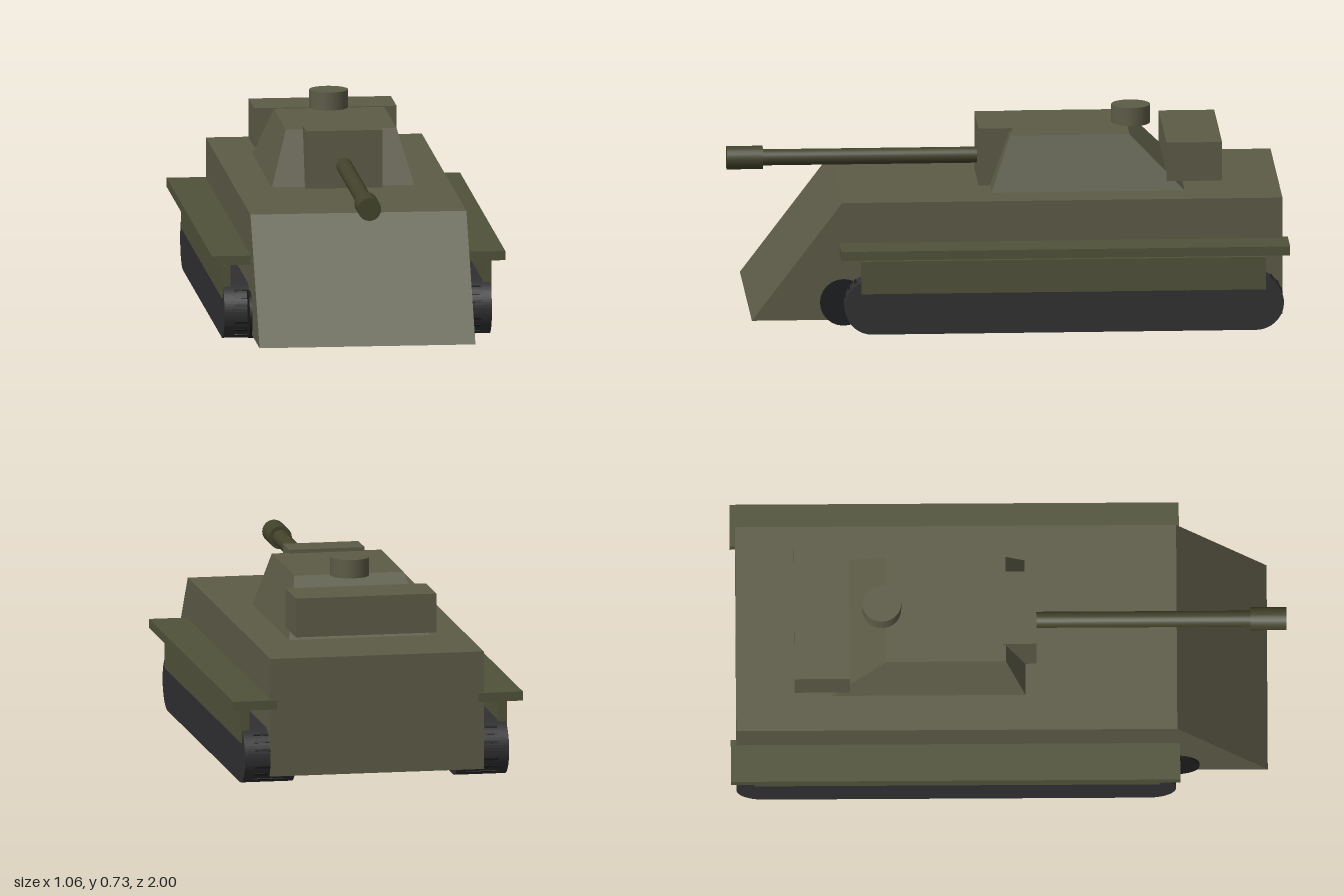
import * as THREE from 'three';

const paint = (color) => new THREE.MeshStandardMaterial({ color });
const hullPaint = paint(0x5c5b47);
const trimPaint = paint(0x50523a);
const gunPaint = paint(0x43432c);
const trackPaint = paint(0x303032);
const wheelPaint = paint(0x1b1c1d);

export function createModel() {
  const model = new THREE.Group();

  const add = (name, geometry, material, parent = model) => {
    const mesh = new THREE.Mesh(geometry, material);
    mesh.name = name;
    parent.add(mesh);
    return mesh;
  };

  // Box given by its limits on each axis
  const box = (x0, x1, y0, y1, z0, z1) =>
    new THREE.BoxGeometry(x1 - x0, y1 - y0, z1 - z0)
      .translate((x0 + x1) / 2, (y0 + y1) / 2, (z0 + z1) / 2);

  // Side profile in (z, y), extruded across x from x0 to x1
  const sideExtrude = (shape, x0, x1) =>
    new THREE.ExtrudeGeometry(shape, { depth: x1 - x0, bevelEnabled: false, curveSegments: 16 })
      .rotateY(-Math.PI / 2)
      .translate(x1, 0, 0);

  // Cylinder lying along z
  const barrel = (r, z0, z1) =>
    new THREE.CylinderGeometry(r, r, z1 - z0, 24)
      .rotateX(Math.PI / 2)
      .translate(0, 0.547, (z0 + z1) / 2);

  // Hull with sloped bow plate
  const hullShape = new THREE.Shape([
    new THREE.Vector2(-0.98, 0.035), new THREE.Vector2(0.93, 0.035),
    new THREE.Vector2(0.605, 0.465), new THREE.Vector2(-0.98, 0.465),
  ]);
  add('hull', sideExtrude(hullShape, -0.39, 0.39), hullPaint);

  // Turret: a box pulled in towards its roof
  const turret = new THREE.Group();
  turret.name = 'turret';
  model.add(turret);
  const body = new THREE.BoxGeometry(1, 1, 1);
  const p = body.attributes.position;
  for (let i = 0; i < p.count; i++) {
    const top = p.getY(i) > 0, front = p.getZ(i) > 0;
    p.setXYZ(i,
      Math.sign(p.getX(i)) * (top ? 0.2 : 0.257),
      top ? 0.662 : 0.465,
      front ? (top ? -0.01 : 0.06) : (top ? -0.44 : -0.635));
  }
  body.computeVertexNormals();
  add('turretBody', body, hullPaint, turret);
  add('mantlet', box(-0.138, 0.138, 0.465, 0.675, -0.02, 0.1), hullPaint, turret);
  add('stowageBin', box(-0.257, 0.257, 0.5, 0.642, -0.77, -0.57), hullPaint, turret);
  add('cupola', new THREE.CylinderGeometry(0.07, 0.07, 0.067, 32).translate(0, 0.694, -0.455), hullPaint, turret);
  add('gunBarrel', barrel(0.029, 0.08, 0.88), gunPaint, turret);
  add('muzzle', barrel(0.042, 0.87, 1.0), gunPaint, turret);

  // Track outline: straight runs with round ends
  const trackShape = new THREE.Shape();
  trackShape.absarc(0.5, 0.1, 0.1, -Math.PI / 2, Math.PI / 2);
  trackShape.absarc(-0.88, 0.1, 0.1, Math.PI / 2, Math.PI * 1.5);
  trackShape.closePath();

  for (const side of [-1, 1]) {
    const gear = new THREE.Group();
    gear.name = side > 0 ? 'leftRunningGear' : 'rightRunningGear';
    model.add(gear);
    const sideBox = (a, b, ...rest) => box(Math.min(side * a, side * b), Math.max(side * a, side * b), ...rest);

    add('track', sideExtrude(trackShape, side * 0.39 - 0.093, side * 0.39 + 0.093), trackPaint, gear);
    add('fender', sideBox(0.37, 0.53, 0.284, 0.317, -1.0, 0.615), trimPaint, gear);
    add('skirt', sideBox(0.455, 0.487, 0.15, 0.27, -0.915, 0.54), trimPaint, gear);

    // Road wheels
    for (let i = 0; i < 6; i++) {
      const wheel = new THREE.CylinderGeometry(0.085, 0.085, 0.115, 24).rotateZ(Math.PI / 2);
      add('roadWheel', wheel, wheelPaint, gear).position.set(side * 0.342, 0.1, 0.6 - i * 0.24);
    }

    // Cleats around both round ends
    for (const [z, dir] of [[0.5, 1], [-0.88, -1]]) {
      for (const degrees of [-54, -36, -18, 18, 36, 54]) {
        const a = THREE.MathUtils.degToRad(degrees);
        const cleat = add('trackCleat', new THREE.BoxGeometry(0.11, 0.008, 0.012), wheelPaint, gear);
        cleat.position.set(side * 0.39, 0.1 + Math.sin(a) * 0.096, z + dir * Math.cos(a) * 0.096);
        cleat.rotation.x = -dir * a;
      }
    }
  }

  return model;
}
